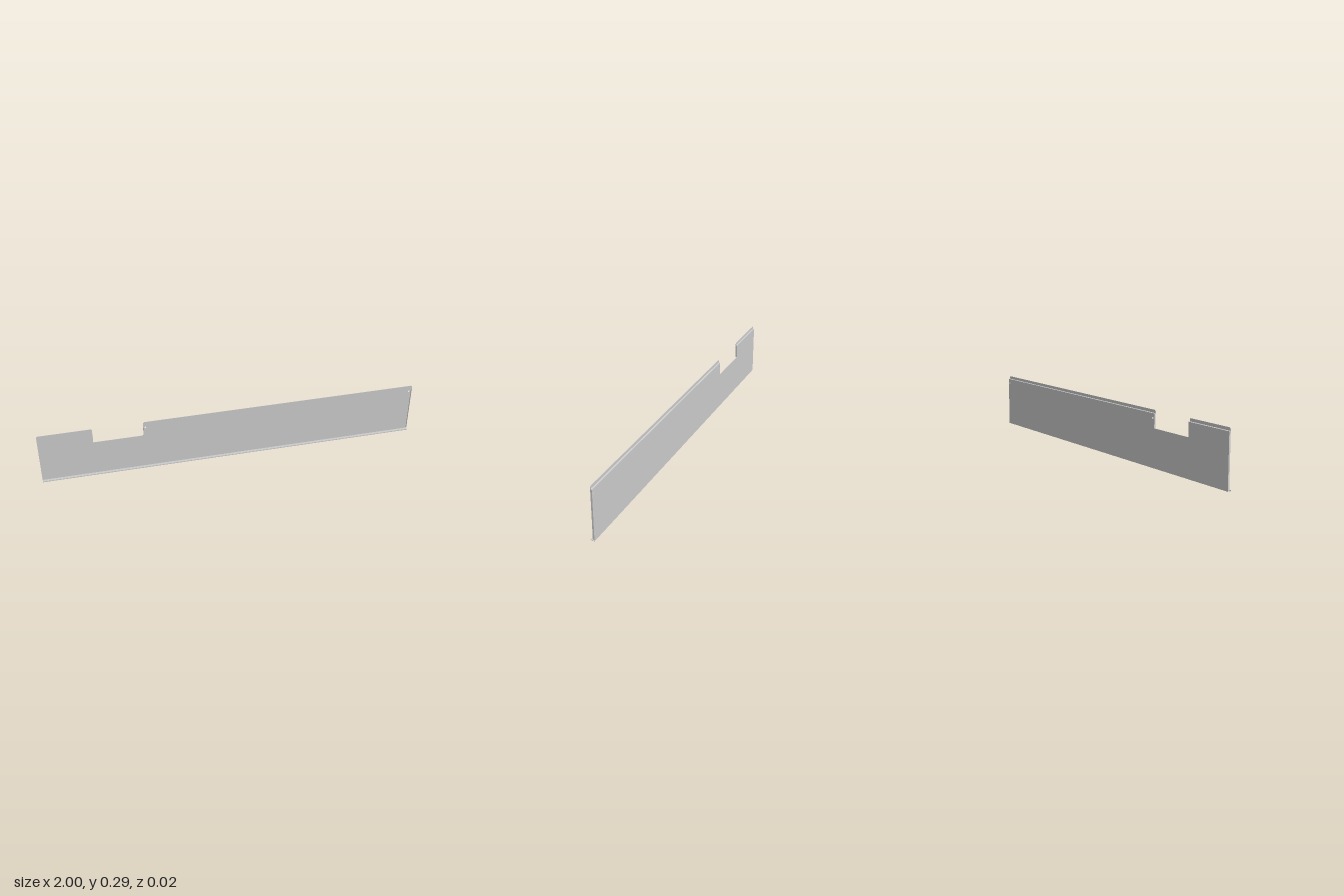
import * as THREE from 'three';

const T = 0.0015;                 // sheet thickness
const BACK = -0.0095, FRONT = -0.001;
const NOTCH = { x0: -0.72, x1: -0.46, y: 0.2 };
const STEP_Y = 0.272, TOP = 0.29;

export function createModel() {
  const group = new THREE.Group();
  const material = new THREE.MeshStandardMaterial({ color: 0xcccccc, flatShading: true });

  const add = (name, geometry) => {
    const mesh = new THREE.Mesh(geometry, material);
    mesh.name = name;
    group.add(mesh);
    return mesh;
  };
  const box = (name, x0, x1, y0, y1, z0, z1) =>
    add(name, new THREE.BoxGeometry(x1 - x0, y1 - y0, z1 - z0))
      .position.set((x0 + x1) / 2, (y0 + y1) / 2, (z0 + z1) / 2);
  const polygon = (points) => new THREE.Shape(points.map(([a, b]) => new THREE.Vector2(a, b)));
  const extrude = (shape, depth) =>
    new THREE.ExtrudeGeometry(shape, { depth, bevelEnabled: false, curveSegments: 8 });
  // Folded section given as [z, y] points, swept from x0 to x1
  const sweep = (name, section, x0, x1) => {
    const geometry = extrude(polygon(section.map(([z, y]) => [-z, y])), x1 - x0);
    geometry.rotateY(Math.PI / 2);
    // after the turn the section's first axis is -z and the depth is +x
    add(name, geometry).position.x = x0;
  };

  // Main sheet with the notch and two fixing holes
  const sheet = polygon([
    [-1, 0], [1, 0], [1, STEP_Y], [NOTCH.x1, STEP_Y], [NOTCH.x1, NOTCH.y],
    [NOTCH.x0, NOTCH.y], [NOTCH.x0, STEP_Y], [-1, STEP_Y],
  ]);
  for (const x of [NOTCH.x1 + 0.012, 0.988]) {
    const hole = new THREE.Path();
    hole.absarc(x, 0.25, 0.005, 0, Math.PI * 2, true);
    sheet.holes.push(hole);
  }
  add('panelSheet', extrude(sheet, T)).position.z = BACK;

  // Stepped-forward lip along each top edge, with clipped corners
  for (const [side, x0, x1] of [['right', -1, NOTCH.x0], ['left', NOTCH.x1, 1]]) {
    sweep(side + 'LipStep', [
      [BACK, STEP_Y - T], [BACK + T, STEP_Y - T], [FRONT, STEP_Y + 0.001],
      [FRONT, STEP_Y + 0.003], [FRONT - T, STEP_Y + 0.003], [BACK, STEP_Y + T],
    ], x0, x1);
    const c = 0.006;
    add(side + 'TopLip', extrude(polygon([
      [x0, STEP_Y + 0.001], [x1, STEP_Y + 0.001], [x1, TOP - c], [x1 - c, TOP],
      [x0 + c, TOP], [x0, TOP - c],
    ]), T)).position.z = FRONT - T;
  }

  // Bottom flange folded forward, ending in a short upturned hem
  box('bottomFlange', -1, 1, 0, T, BACK, 0.01);
  box('bottomHem', -1, 1, 0, 0.005, 0.01 - T, 0.01);

  // Return flanges on the two ends and the notch sides
  const returns = [
    ['rightEndFlange', -1, 0.008], ['leftEndFlange', 1 - T, 0.008],
    ['notchRightFlange', NOTCH.x0 - T, NOTCH.y], ['notchLeftFlange', NOTCH.x1, NOTCH.y],
  ];
  for (const [name, x, y] of returns) box(name, x, x + T, y, STEP_Y, BACK, FRONT);

  return group;
}
